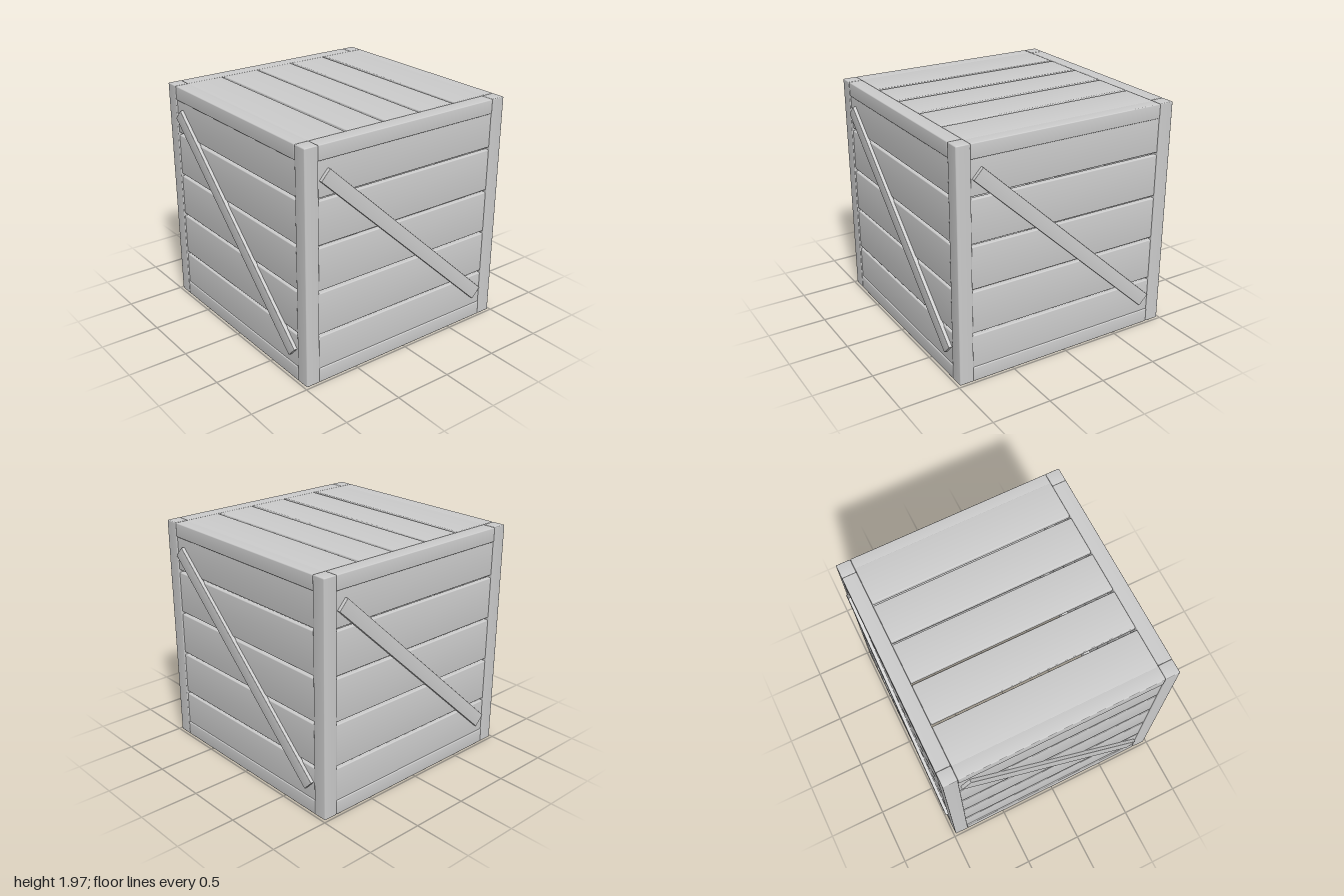
import * as THREE from 'three';
import { RoundedBoxGeometry } from 'three/addons/geometries/RoundedBoxGeometry.js';

const material = new THREE.MeshStandardMaterial({ color: 0xcccccc });

// A board with small chamfers; its normals lean out slightly across the
// short axes so that each plank shades softly from edge to edge.
function board(name, w, h, d, bevel = 0.008) {
  const geometry = new RoundedBoxGeometry(w, h, d, 1, bevel);
  const pos = geometry.attributes.position;
  const normal = geometry.attributes.normal;
  const size = [w, h, d];
  const longest = size.indexOf(Math.max(w, h, d));
  const n = new THREE.Vector3();
  for (let i = 0; i < pos.count; i++) {
    n.fromBufferAttribute(normal, i);
    for (let axis = 0; axis < 3; axis++) {
      if (axis === longest) continue;
      const lean = 0.1 * Math.sign(pos.getComponent(i, axis));
      n.setComponent(axis, n.getComponent(axis) + lean);
    }
    n.normalize();
    normal.setXYZ(i, n.x, n.y, n.z);
  }
  const mesh = new THREE.Mesh(geometry, material);
  mesh.name = name;
  return mesh;
}

export function createModel() {
  const crate = new THREE.Group();
  crate.name = 'crate';
  const height = 1.965;
  const beam = 0.122;      // thickness of posts and rails
  const edge = 0.92;       // centre line of posts and rails
  const span = 1.717;      // clear width between posts

  // Four equal sides, each turned a quarter round
  for (let i = 0; i < 4; i++) {
    const side = new THREE.Group();
    side.name = 'side' + (i + 1);
    side.rotation.y = i * Math.PI / 2;

    // Corner post
    const post = board('cornerPost', beam, height, beam);
    post.position.set(-edge, height / 2, edge);
    side.add(post);

    // Bottom and top rails
    for (const [name, y] of [['bottomRail', beam / 2], ['topRail', height - beam / 2]]) {
      const rail = board(name, span, beam, beam);
      rail.position.set(0, y, edge);
      side.add(rail);
    }

    // Horizontal slats with narrow gaps
    for (let k = -2; k <= 2; k++) {
      const slat = board('sideSlat', span + 0.02, 0.355, 0.045);
      slat.position.set(0, 0.978 + k * 0.377, 0.948);
      side.add(slat);
    }

    // Diagonal brace
    const brace = board('diagonalBrace', 2.2, 0.116, 0.036, 0.004);
    brace.position.set(-0.003, 0.983, 0.981);
    brace.rotation.z = -Math.atan2(1.5, 1.61);
    side.add(brace);

    crate.add(side);
  }

  // Lid slats, almost flush with the top rails
  for (let k = -2; k <= 2; k++) {
    const slat = board('lidSlat', span, 0.045, 0.335);
    slat.position.set(0, height - 0.0215, -0.01 + k * 0.357);
    crate.add(slat);
  }

  return crate;
}
